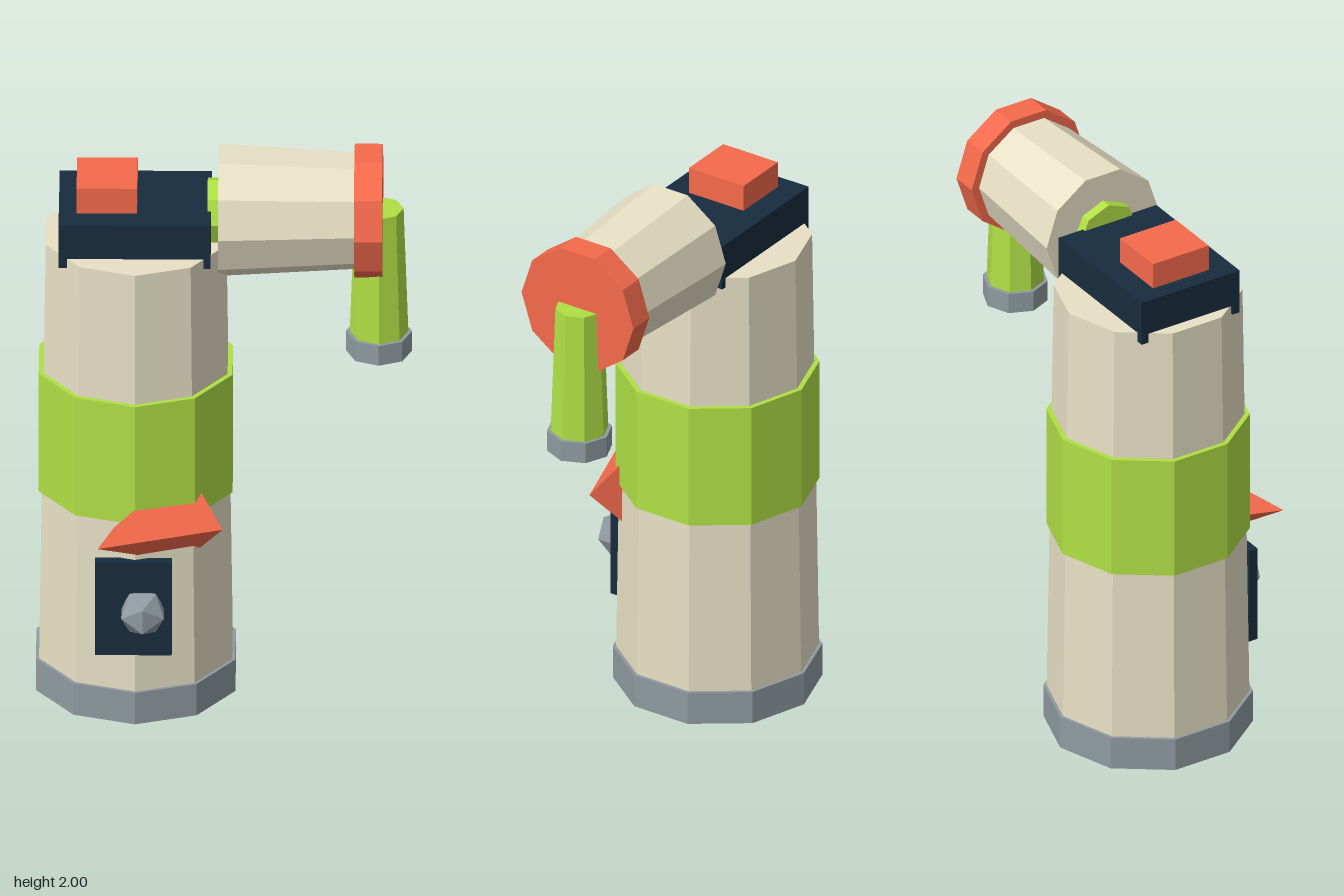
import * as THREE from 'three';

const material = (color) => new THREE.MeshStandardMaterial({ color, flatShading: true });

export function createModel() {
  const model = new THREE.Group();
  const cream = material(0xe8e1c6);
  const green = material(0xb0e045);
  const red = material(0xf56a4c);
  const navy = material(0x182c3e);
  const grey = material(0x8f9aa0);

  const add = (name, geometry, mat, x, y, z) => {
    const mesh = new THREE.Mesh(geometry, mat);
    mesh.name = name;
    mesh.position.set(x, y, z);
    model.add(mesh);
    return mesh;
  };

  const Z = -0.06; // shared centre line of body, arm and spout
  const BODY_X = -0.3;

  // Upright prism between two heights
  const upright = (name, mat, x, y0, y1, rBottom, rTop, sides) =>
    add(name, new THREE.CylinderGeometry(rTop, rBottom, y1 - y0, sides), mat, x, (y0 + y1) / 2, Z);

  // Prism lying along x between two positions
  const sideways = (name, mat, x0, x1, r0, r1, sides) => {
    const geometry = new THREE.CylinderGeometry(r1, r0, x1 - x0, sides);
    geometry.rotateZ(-Math.PI / 2);
    return add(name, geometry, mat, (x0 + x1) / 2, 1.785, Z);
  };

  // Box given by its limits on each axis
  const box = (name, mat, x0, x1, y0, y1, z0, z1) =>
    add(name, new THREE.BoxGeometry(x1 - x0, y1 - y0, z1 - z0), mat,
      (x0 + x1) / 2, (y0 + y1) / 2, (z0 + z1) / 2);

  // Main column
  upright('base', grey, BODY_X, 0, 0.12, 0.355, 0.355, 10);
  upright('body', cream, BODY_X, 0.02, 1.7, 0.345, 0.32, 10);
  upright('bodyBand', green, BODY_X, 0.76, 1.21, 0.345, 0.345, 10);

  // Lid with corner clips and a button
  box('lid', navy, -0.56, -0.045, 1.7, 1.83, -0.255, 0.14);
  for (const x of [-0.56, -0.073]) {
    for (const z of [-0.255, 0.112]) {
      box('lidClip', navy, x, x + 0.028, 1.665, 1.7, z, z + 0.028);
    }
  }
  box('lidButton', red, -0.5, -0.295, 1.83, 1.925, -0.17, 0.055);

  // Side arm
  sideways('armHub', green, -0.057, 0.02, 0.115, 0.115, 8);
  sideways('arm', cream, -0.02, 0.45, 0.227, 0.2, 10);
  sideways('armCap', red, 0.44, 0.535, 0.23, 0.23, 10);

  // Hanging spout
  upright('spout', green, 0.523, 1.3, 1.795, 0.1, 0.083, 8);
  upright('spoutTip', grey, 0.523, 1.25, 1.325, 0.112, 0.112, 8);

  // Front plate with a faceted knob
  box('frontPlate', navy, -0.435, -0.175, 0.265, 0.62, 0.26, 0.295);
  add('knob', new THREE.IcosahedronGeometry(0.085, 0), grey, -0.273, 0.44, 0.318);

  // Four-sided spike pointing diagonally out of the front
  const spike = new THREE.ConeGeometry(0.196, 0.4, 4);
  spike.rotateX(Math.PI / 2);
  spike.rotateY(-Math.PI / 4);
  add('spike', spike, red, -0.283, 0.73, 0.265);

  return model;
}
